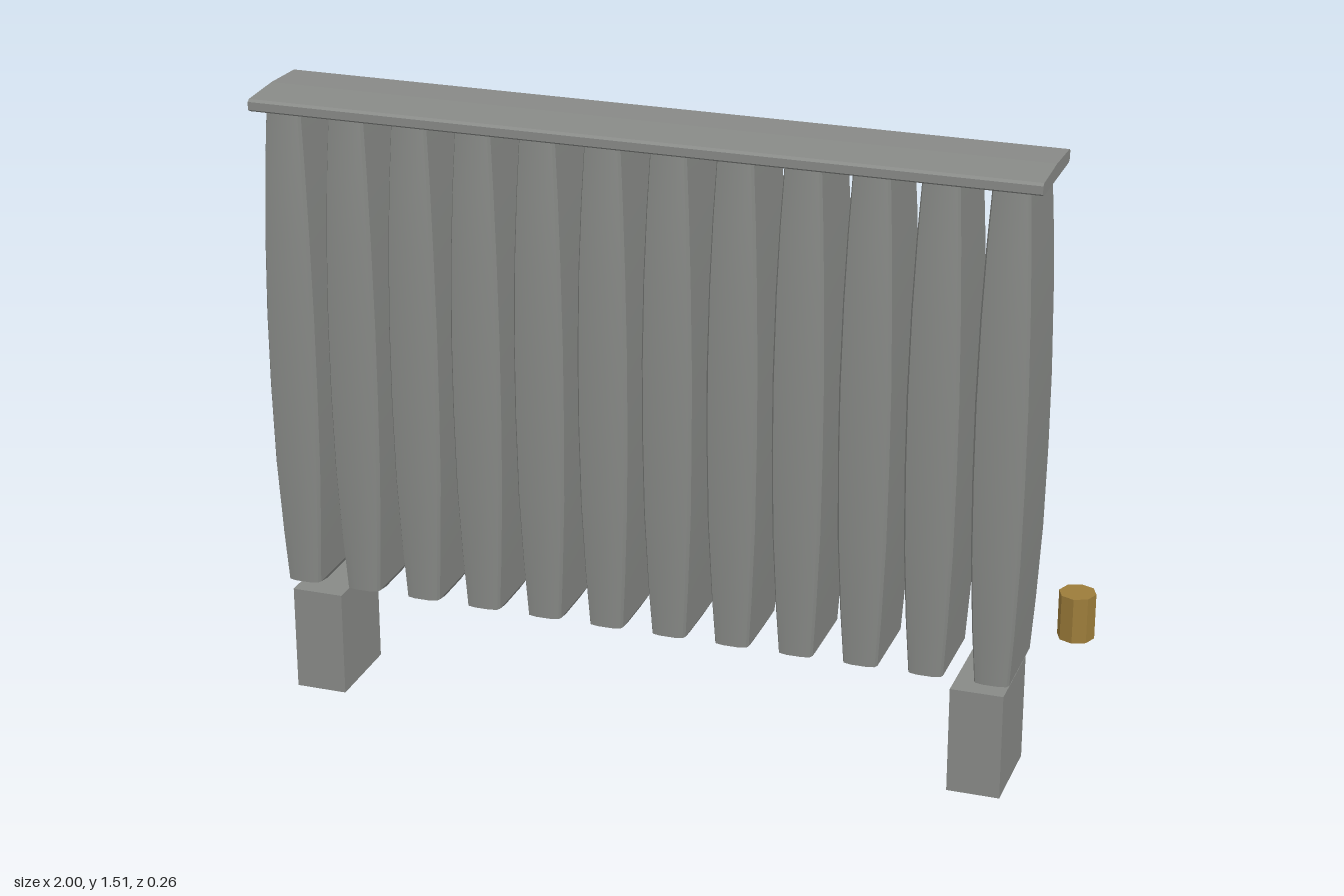
import * as THREE from 'three';
import { toCreasedNormals } from 'three/addons/utils/BufferGeometryUtils.js';

const castIron = new THREE.MeshStandardMaterial({ color: 0x888a87 });
castIron.name = 'cast iron grey';
const brass = new THREE.MeshStandardMaterial({ color: 0x9c7c3a });
brass.name = 'brass';

// Rings of [height, half width, half depth] for one bulging column
const RINGS = [
  [0.275, 0.033, 0.055], [0.29, 0.041, 0.115], [0.42, 0.049, 0.121], [0.6, 0.057, 0.127],
  [0.8, 0.06, 0.13], [0.98, 0.06, 0.13], [1.18, 0.056, 0.127], [1.34, 0.05, 0.121], [1.49, 0.042, 0.113],
];
// One quarter of the plan outline: flat sides, softened corners, slightly convex front
const QUARTER = [[1, 0.88], [0.9, 0.96], [0.45, 1]];

function outline() {
  const mirrored = [...QUARTER].reverse().map(([x, z]) => [-x, z]);
  const half = [...QUARTER, ...mirrored];
  return [...half, ...half.map(([x, z]) => [-x, -z])];
}

function columnGeometry() {
  const plan = outline(), n = plan.length, pos = [], idx = [];
  for (const [y, w, d] of RINGS) for (const [x, z] of plan) pos.push(x * w, y, z * d);
  for (let r = 0; r < RINGS.length - 1; r++) {
    for (let i = 0; i < n; i++) {
      const a = r * n + i, b = r * n + (i + 1) % n;
      idx.push(a, a + n, b, b, a + n, b + n);
    }
  }
  // Close the underside and the top
  const top = (RINGS.length - 1) * n;
  for (let i = 1; i < n - 1; i++) {
    idx.push(0, i, i + 1);
    idx.push(top, top + i + 1, top + i);
  }
  const g = new THREE.BufferGeometry();
  g.setAttribute('position', new THREE.Float32BufferAttribute(pos, 3));
  g.setIndex(idx);
  return toCreasedNormals(g, 0.4);
}

function add(group, name, geometry, material, x = 0, y = 0, z = 0) {
  const mesh = new THREE.Mesh(geometry, material);
  mesh.name = name;
  mesh.position.set(x, y, z);
  group.add(mesh);
  return mesh;
}

export function createModel() {
  const model = new THREE.Group();
  model.name = 'radiator';

  // Row of columns
  const columns = new THREE.Group();
  columns.name = 'columns';
  model.add(columns);
  const column = columnGeometry();
  for (let i = 0; i < 12; i++) add(columns, 'column', column, castIron, -0.925 + i * 0.1555);

  // Top shelf, with a faintly crowned profile run along x
  const profile = new THREE.Shape([
    [-0.12, 1.475], [0.12, 1.475], [0.13, 1.481], [0.13, 1.5], [0.122, 1.505],
    [0, 1.51], [-0.122, 1.505], [-0.13, 1.5], [-0.13, 1.481],
  ].map(([z, y]) => new THREE.Vector2(z, y)));
  const shelf = new THREE.ExtrudeGeometry(profile, { depth: 1.86, bevelEnabled: false });
  shelf.rotateY(Math.PI / 2);
  add(model, 'topShelf', shelf, castIron, -1);

  // Block feet
  const foot = new THREE.BoxGeometry(0.126, 0.263, 0.218);
  for (const x of [-0.892, 0.753]) add(model, 'foot', foot, castIron, x, 0.1315);

  // Valve beside the last column
  const valve = new THREE.CylinderGeometry(0.043, 0.043, 0.11, 8);
  add(model, 'valve', toCreasedNormals(valve, 0.4), brass, 0.953, 0.445);

  return model;
}
